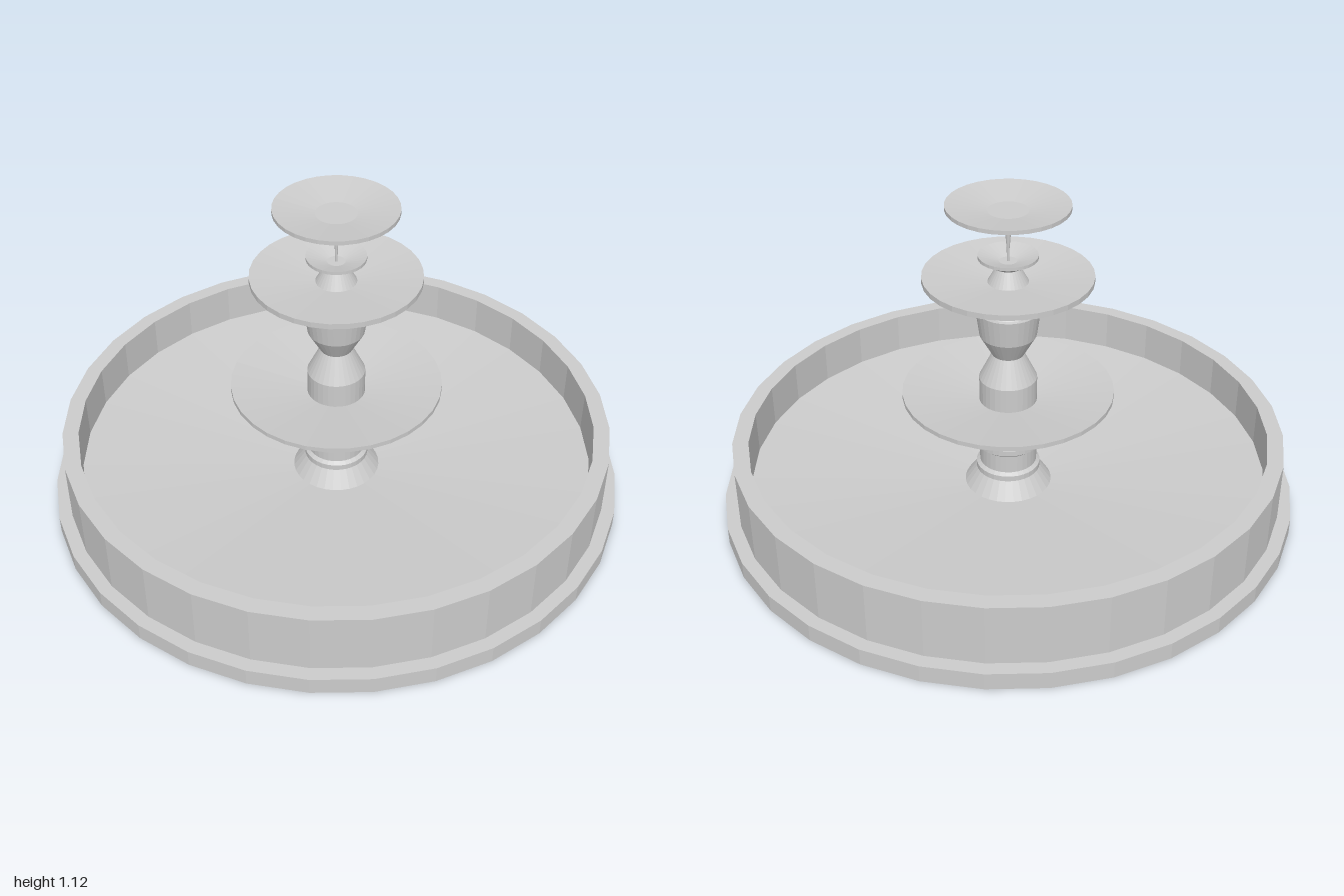
import * as THREE from 'three';

const SIDES = 32;
const material = new THREE.MeshStandardMaterial({ color: 0xcccccc, flatShading: true });

// Revolve a profile of [radius, height] pairs, listed from the bottom, outwards and up.
function turned(name, profile) {
  const points = profile.map(([r, y]) => new THREE.Vector2(r, y));
  const mesh = new THREE.Mesh(new THREE.LatheGeometry(points, SIDES), material);
  mesh.name = name;
  return mesh;
}

// Shallow dish: sloped underside, thin vertical rim, sunken top.
function dish(name, { neck, bottom, radius, rimLow, rimTop, wellRadius, wellY }) {
  return turned(name, [
    [0, bottom], [neck, bottom], [radius, rimLow], [radius, rimTop],
    [wellRadius, wellY], [0, wellY],
  ]);
}

export function createModel() {
  const fountain = new THREE.Group();
  fountain.name = 'fountain';

  // Stepped basin with a floor sloping to the middle
  fountain.add(turned('basin', [
    [0, 0], [1, 0], [1, 0.06], [0.955, 0.06], [0.955, 0.274],
    [0.9, 0.274], [0.9, 0.125], [0, 0.035],
  ]));

  // Flared foot, collar and lower column
  fountain.add(turned('pedestal', [
    [0.16, 0.04], [0.112, 0.11], [0.112, 0.13], [0.1, 0.14], [0.1, 0.205],
    [0.118, 0.22], [0.118, 0.24], [0.1, 0.25], [0.1, 0.37],
  ]));
  fountain.add(dish('lowerDish', {
    neck: 0.1, bottom: 0.358, radius: 0.365, rimLow: 0.413, rimTop: 0.429,
    wellRadius: 0.1, wellY: 0.388,
  }));

  // Waisted stem with an urn shape
  fountain.add(turned('urnStem', [
    [0.1, 0.385], [0.1, 0.475], [0.055, 0.567], [0.097, 0.642], [0.11, 0.738],
    [0.107, 0.745], [0.085, 0.767], [0.067, 0.767], [0.067, 0.82],
  ]));
  fountain.add(dish('middleDish', {
    neck: 0.067, bottom: 0.808, radius: 0.286, rimLow: 0.848, rimTop: 0.867,
    wellRadius: 0.07, wellY: 0.84,
  }));

  // Small cup on a tapered base
  fountain.add(turned('cupBase', [[0.07, 0.838], [0.038, 0.895]]));
  fountain.add(dish('smallCup', {
    neck: 0.038, bottom: 0.89, radius: 0.1, rimLow: 0.926, rimTop: 0.937,
    wellRadius: 0.03, wellY: 0.915,
  }));

  // Thin spout widening upwards to the top dish
  fountain.add(turned('spout', [
    [0.004, 0.91], [0.005, 0.96], [0.01, 1.02], [0.014, 1.055], [0.024, 1.075],
  ]));
  fountain.add(dish('topDish', {
    neck: 0.02, bottom: 1.068, radius: 0.205, rimLow: 1.102, rimTop: 1.116,
    wellRadius: 0.068, wellY: 1.094,
  }));

  return fountain;
}
